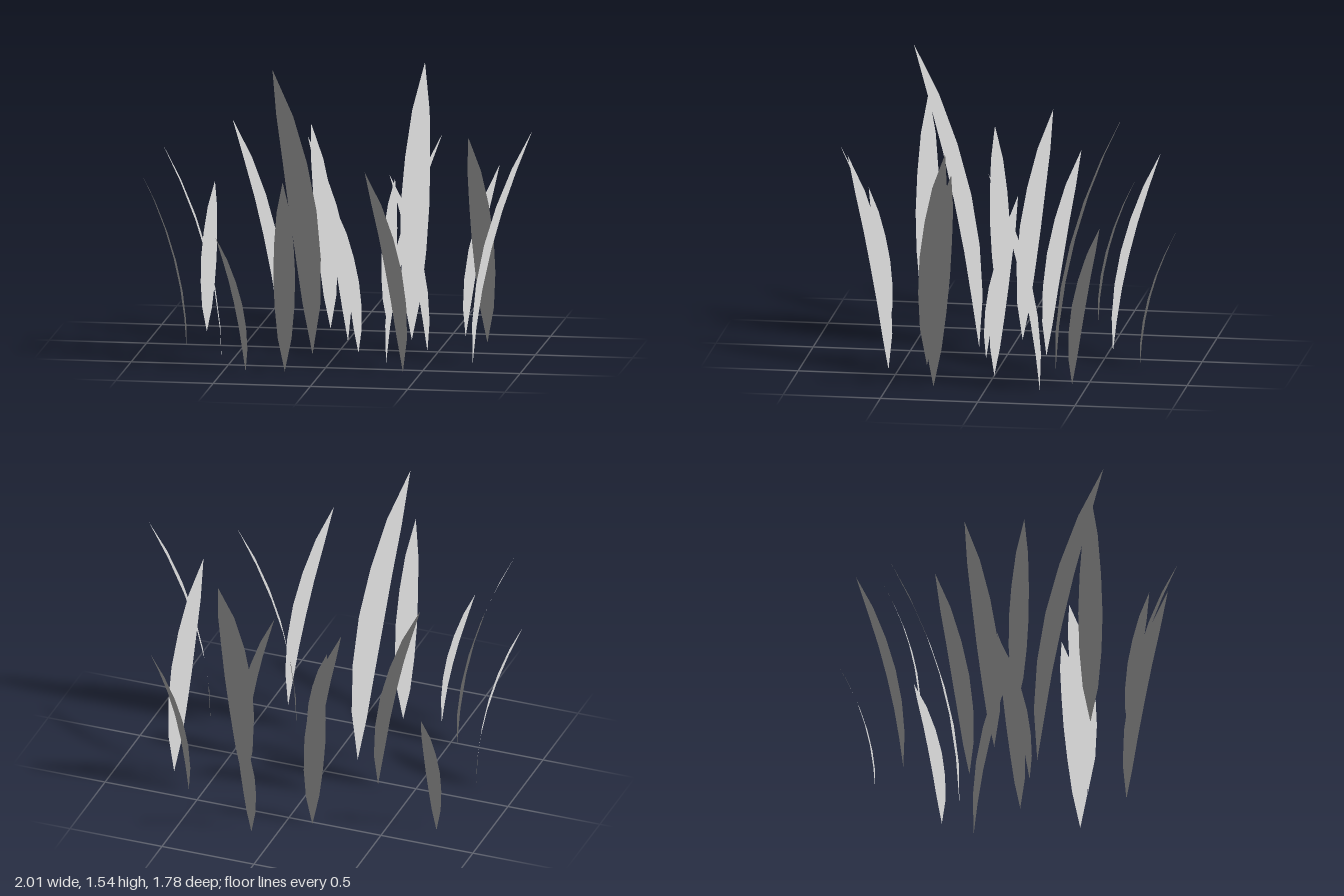
import * as THREE from 'three';

// Base x, base z, tip x, tip z, height of each blade
const BLADES = [
  [0.128, -0.70, 0.138, -0.89, 0.715],
  [-0.745, -0.35, -0.733, -0.54, 0.745],
  [-0.135, -0.52, -0.27, -0.745, 1.015],
  [0.318, -0.295, 0.33, -0.65, 1.37],
  [0.575, -0.42, 0.725, -0.585, 0.865],
  [0.71, -0.275, 0.655, 0.0, 1.115],
  [0.005, -0.2, -0.225, -0.345, 1.03],
  [-0.305, -0.03, -0.58, -0.145, 1.145],
  [0.105, 0.095, -0.03, -0.035, 0.715],
  [0.445, 0.0, 0.235, -0.09, 0.895],
  [0.29, 0.37, 0.56, 0.235, 1.18],
  [0.72, 0.27, 1.005, 0.135, 1.185],
  [-0.77, 0.15, -1.0, 0.22, 0.94],
  [-0.535, 0.495, -0.835, 0.535, 1.145],
  [-0.12, 0.165, -0.27, 0.525, 1.54],
  [-0.385, 0.67, -0.52, 0.795, 0.715],
  [-0.19, 0.63, -0.16, 0.89, 1.03],
  [0.405, 0.55, 0.245, 0.785, 1.075],
];

// Unit blade: pointed at both ends, bending towards +z as it rises
function bladeGeometry() {
  const widths = [0, 0.63, 0.91, 1, 0.88, 0.61, 0];
  const segments = widths.length - 1;
  const geometry = new THREE.PlaneGeometry(0.108, 1, 1, segments);
  const { position, normal } = geometry.attributes;
  for (let i = 0; i < position.count; i++) {
    const t = position.getY(i) + 0.5;
    position.setXYZ(i, position.getX(i) * widths[Math.round(t * segments)], t, t * t);
    // Upward normals light the whole tuft evenly, like a patch of ground
    normal.setXYZ(i, 0, 1, 0);
  }
  return geometry;
}

export function createModel() {
  const group = new THREE.Group();
  group.name = 'grassTuft';
  const geometry = bladeGeometry();
  const material = new THREE.MeshStandardMaterial({ color: 0xcccccc, side: THREE.DoubleSide });

  BLADES.forEach(([bx, bz, tx, tz, height], i) => {
    const blade = new THREE.Mesh(geometry, material);
    blade.name = `grassBlade${i + 1}`;
    blade.position.set(bx, 0, bz);
    blade.rotation.y = Math.atan2(tx - bx, tz - bz);
    blade.scale.set(height, height, Math.hypot(tx - bx, tz - bz));
    group.add(blade);
  });
  return group;
}
